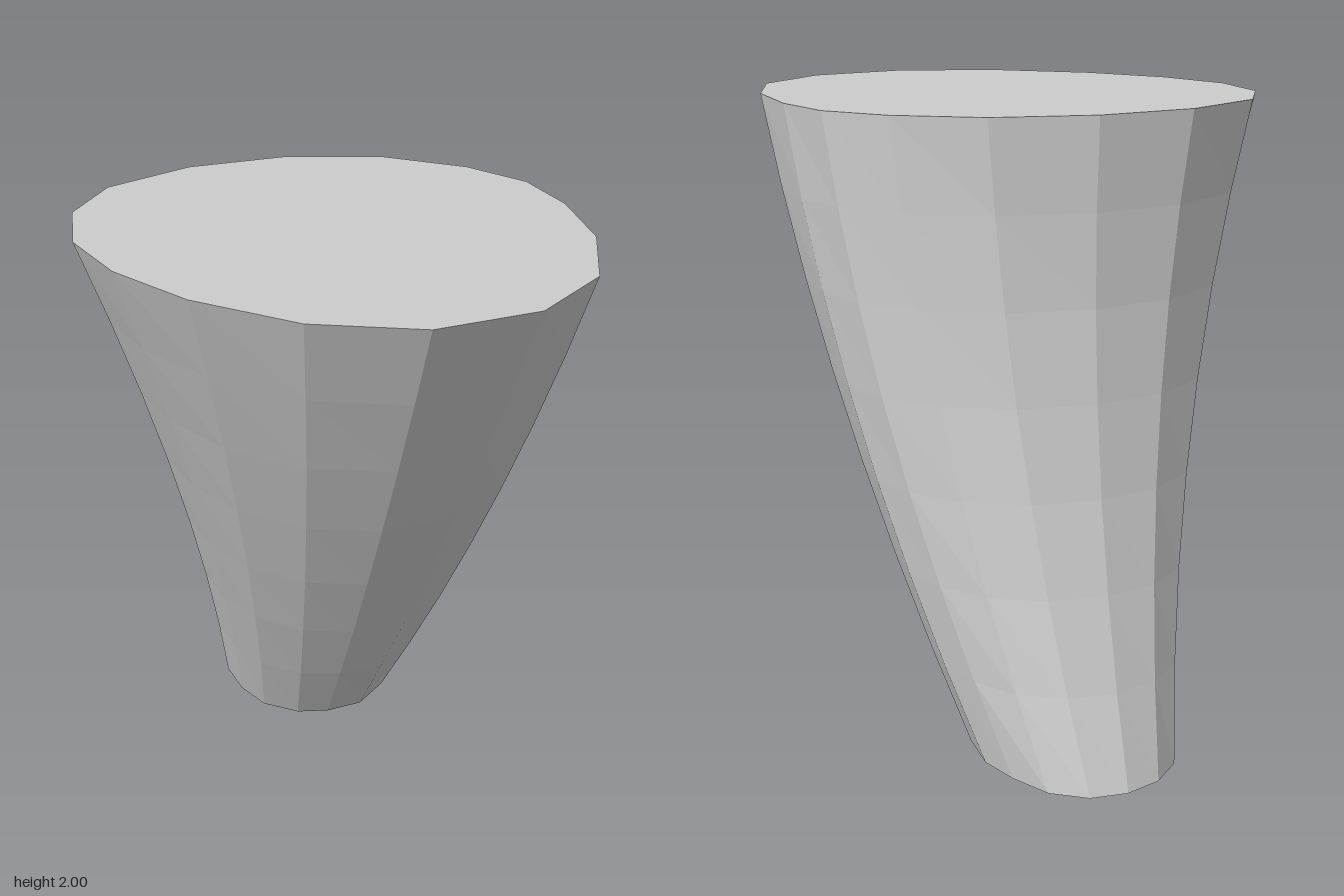
import * as THREE from 'three';

// Matching outlines as [x, z], running from the back round by the left side (+x)
const TOP = [
  [0.02, -0.59], [0.34, -0.51], [0.58, -0.34], [0.72, -0.15],
  [0.765, 0.08], [0.75, 0.38], [0.64, 0.68], [0.40, 0.88],
  [0.07, 0.93], [-0.25, 0.81], [-0.52, 0.57], [-0.69, 0.31],
  [-0.77, 0.05], [-0.74, -0.21], [-0.60, -0.42], [-0.31, -0.56],
];
const BOTTOM = [
  [0.07, -0.93], [0.19, -0.91], [0.29, -0.83], [0.35, -0.70],
  [0.385, -0.57], [0.37, -0.42], [0.31, -0.30], [0.20, -0.20],
  [0.07, -0.18], [-0.04, -0.20], [-0.15, -0.28], [-0.21, -0.40],
  [-0.235, -0.54], [-0.22, -0.69], [-0.15, -0.82], [-0.05, -0.90],
];
const HEIGHT = 2;
const RINGS = 7;
const SIDES = TOP.length;

// Blend of the two outlines; at mid height both flanks bow to +x and the whole ring forward
function ringPoint(i, t) {
  const bow = 4 * t * (1 - t);
  const angle = (i / SIDES) * Math.PI * 2;
  const x = THREE.MathUtils.lerp(BOTTOM[i][0], TOP[i][0], t) + bow * 0.052 * Math.sin(angle) ** 2;
  const z = THREE.MathUtils.lerp(BOTTOM[i][1], TOP[i][1], t) + bow * (0.07 + 0.03 * Math.cos(angle));
  return [x, t * HEIGHT, z];
}

// Side wall with a flat top, open at the bottom
function columnGeometry() {
  const positions = [];
  const indices = [];
  for (let r = 0; r <= RINGS; r++) {
    for (let i = 0; i < SIDES; i++) positions.push(...ringPoint(i, r / RINGS));
  }
  const topCentre = positions.length / 3;
  positions.push(0, HEIGHT, 0.17);

  for (let i = 0; i < SIDES; i++) {
    const next = (i + 1) % SIDES;
    for (let r = 0; r < RINGS; r++) {
      const a = r * SIDES + i;
      const b = r * SIDES + next;
      const c = b + SIDES;
      const d = a + SIDES;
      indices.push(a, d, c, a, c, b);
    }
    indices.push(topCentre, RINGS * SIDES + next, RINGS * SIDES + i);
  }

  const geometry = new THREE.BufferGeometry();
  geometry.setAttribute('position', new THREE.Float32BufferAttribute(positions, 3));
  geometry.setIndex(indices);
  geometry.computeVertexNormals();
  return geometry;
}

export function createModel() {
  const group = new THREE.Group();
  group.name = 'leaningTaperedColumn';
  const material = new THREE.MeshStandardMaterial({
    color: 0xcccccc,
    flatShading: true,
    side: THREE.DoubleSide,
  });
  const column = new THREE.Mesh(columnGeometry(), material);
  column.name = 'taperedColumn';
  group.add(column);
  return group;
}
